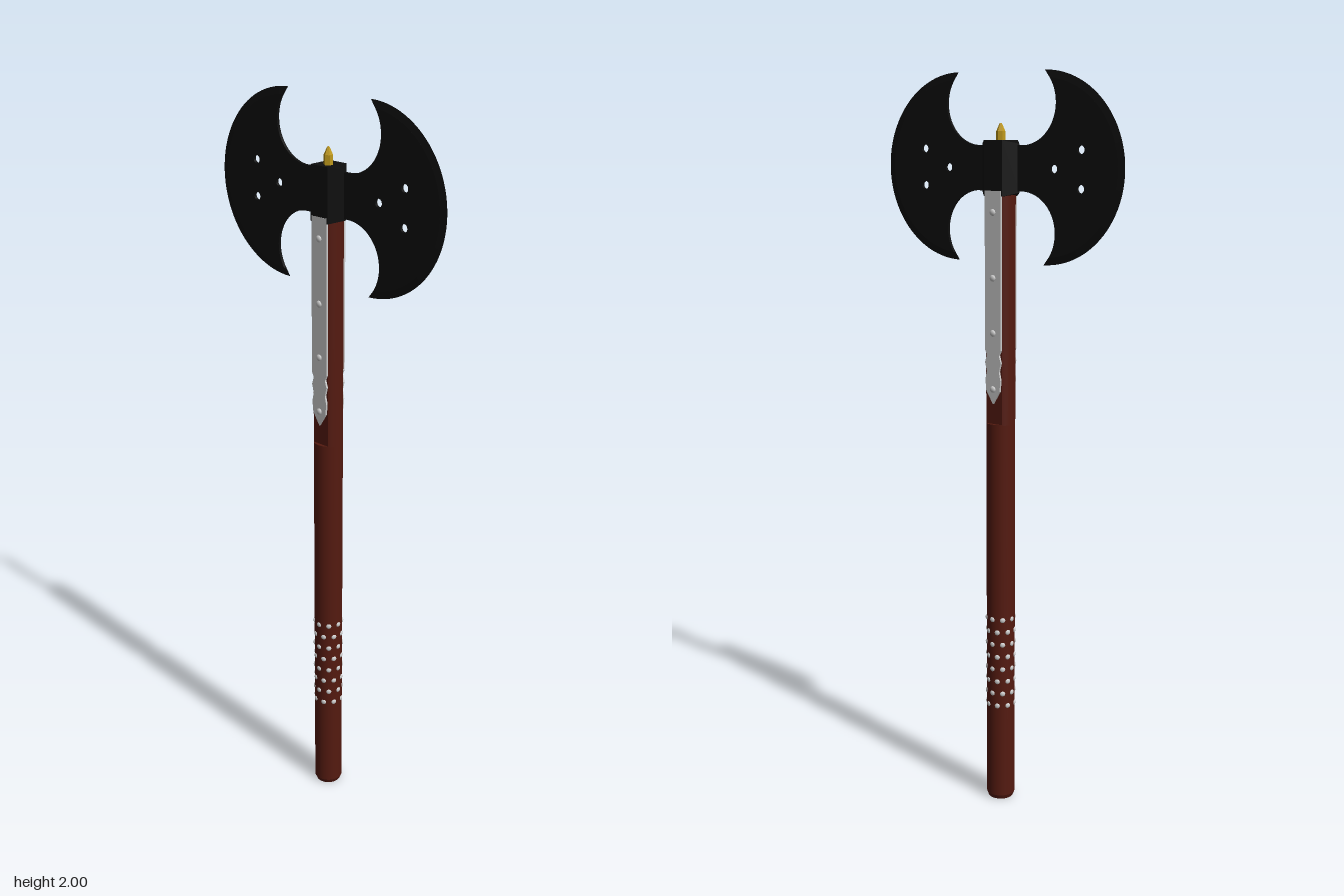
import * as THREE from 'three';
import { ParametricGeometry } from 'three/addons/geometries/ParametricGeometry.js';

const material = (color, extra = {}) => new THREE.MeshStandardMaterial({ color, ...extra });

export function createModel() {
  const group = new THREE.Group();
  const black = material(0x0d0d0d, { side: THREE.DoubleSide });
  const wood = material(0x541a10);
  const gold = material(0xc09a1c, { flatShading: true });
  const steel = material(0xcccccc);

  const add = (name, geometry, mat, parent = group) => {
    const mesh = new THREE.Mesh(geometry, mat);
    mesh.name = name;
    parent.add(mesh);
    return mesh;
  };

  // Round lower shaft with a bevelled foot
  const R = 0.039, headY = 1.757;
  const profile = [[0, 0], [0.034, 0], [0.034, 0], [R, 0.012], [R, 0.012], [R, 1.085], [R, 1.085], [0, 1.085]];
  add('shaft', new THREE.LatheGeometry(profile.map(p => new THREE.Vector2(...p)), 32), wood);

  // Upper shaft with a flat cut into the front and the back
  const flatZ = 0.029, cut = Math.asin(flatZ / R);
  const section = new THREE.Shape();
  section.absarc(0, 0, R, -cut, cut, false);
  section.absarc(0, 0, R, Math.PI - cut, Math.PI + cut, false);
  section.closePath();
  const upper = new THREE.ExtrudeGeometry(section, { depth: 0.61, bevelEnabled: false, curveSegments: 12 });
  add('upperShaft', upper.rotateX(-Math.PI / 2).translate(0, 1.083, 0), wood);

  // Steel straps with a scalloped, pointed end and rivets, front and back
  const edge = new THREE.Shape();
  const half = [[0.02, 1.272], [0.026, 1.252], [0.02, 1.228], [0.025, 1.205], [0.022, 1.175], [0, 1.14]];
  edge.moveTo(-0.026, 1.7);
  edge.lineTo(-0.026, 1.285);
  half.forEach(([x, y]) => edge.lineTo(-x, y));
  half.slice(0, -1).reverse().forEach(([x, y]) => edge.lineTo(x, y));
  edge.lineTo(0.026, 1.285);
  edge.lineTo(0.026, 1.7);
  const strapGeo = new THREE.ExtrudeGeometry(edge, { depth: 0.006, bevelEnabled: false }).translate(0, 0, flatZ);
  const domeGeo = new THREE.SphereGeometry(0.009, 12, 4, 0, Math.PI * 2, 0, Math.PI / 2)
    .scale(1, 0.6, 1).rotateX(Math.PI / 2);
  for (const turn of [0, Math.PI]) {
    const strap = new THREE.Group();
    strap.name = 'strap';
    strap.rotation.y = turn;
    add('strapPlate', strapGeo, steel, strap);
    for (const y of [1.645, 1.475, 1.33, 1.18]) add('rivet', domeGeo, steel, strap).position.set(0, y, 0.035);
    group.add(strap);
  }

  // Staggered rings of grip studs
  for (let row = 0; row < 8; row++) {
    for (let i = 0; i < 8; i++) {
      const a = (i + (row % 2 ? 0 : 0.5)) * Math.PI / 4;
      const stud = add('gripStud', domeGeo, steel);
      stud.scale.set(0.85, 0.85, 0.8);
      stud.position.set(Math.sin(a) * (R - 0.001), 0.283 + row * 0.036, Math.cos(a) * (R - 0.001));
      stud.rotation.y = a;
    }
  }

  // Six-sided socket, slightly lower at its side edges
  const hex = new THREE.Shape([[0.06, 0], [0.029, 0.034], [-0.029, 0.034], [-0.06, 0], [-0.029, -0.034], [0.029, -0.034]]
    .map(p => new THREE.Vector2(...p)));
  const socket = new THREE.ExtrudeGeometry(hex, { depth: 0.142, bevelEnabled: false })
    .rotateX(-Math.PI / 2).translate(0, -0.071, 0);
  const pos = socket.attributes.position;
  for (let i = 0; i < pos.count; i++) if (Math.abs(pos.getX(i)) > 0.05) pos.setY(i, pos.getY(i) * 0.87);
  socket.computeVertexNormals();
  add('socket', socket, black).position.y = headY;

  // Gold finial
  add('finialBase', new THREE.CylinderGeometry(0.012, 0.012, 0.025, 6), gold).position.y = 1.838;
  add('finialTip', new THREE.CylinderGeometry(0.003, 0.012, 0.02, 6), gold).position.y = 1.86;

  // Blade plate: round outside, two round bites inside, three holes
  const cx = 0.137, rim = 0.243, inner = 0.224, t = 0.004;
  const bite = { x: 0.07, y: 0.163, r: 0.105 };
  const dx = bite.x - cx, dist = Math.hypot(dx, bite.y);
  // Half angle at which a circle about the blade centre meets the bite
  const endAngle = r => Math.atan2(bite.y, dx)
    - Math.acos((r * r + dist * dist - bite.r * bite.r) / (2 * r * dist));
  const A = endAngle(inner);
  const tip = Math.atan2(inner * Math.sin(A) - bite.y, cx + inner * Math.cos(A) - bite.x);
  const plate = new THREE.Shape();
  plate.absarc(cx, 0, inner, -A, A, false);
  plate.absarc(bite.x, bite.y, bite.r, tip, -Math.PI / 2, true);
  plate.lineTo(0.02, 0.058);
  plate.lineTo(0.02, -0.058);
  plate.absarc(bite.x, -bite.y, bite.r, Math.PI / 2, -tip, true);
  for (const [x, y] of [[0.17, 0], [0.252, 0.048], [0.252, -0.048]]) {
    plate.holes.push(new THREE.Path().absarc(x, y, 0.011, 0, Math.PI * 2, true));
  }
  const plateGeo = new THREE.ExtrudeGeometry(plate, { depth: 2 * t, bevelEnabled: false, curveSegments: 40 })
    .translate(0, 0, -t);

  // Sharpened rim tapering to a thin edge
  const bevel = side => new ParametricGeometry((u, v, out) => {
    const r = inner + (rim - inner) * v;
    const a = (2 * u - 1) * endAngle(r) * -side;
    out.set(cx + r * Math.cos(a), r * Math.sin(a), side * t * (1 - v));
  }, 48, 1);

  for (const turn of [0, Math.PI]) {
    const blade = new THREE.Group();
    blade.name = turn ? 'rightBlade' : 'leftBlade';
    blade.position.y = headY;
    blade.rotation.y = turn;
    add('bladePlate', plateGeo, black, blade);
    for (const side of [1, -1]) add('cuttingEdge', bevel(side), black, blade);
    group.add(blade);
  }
  return group;
}
